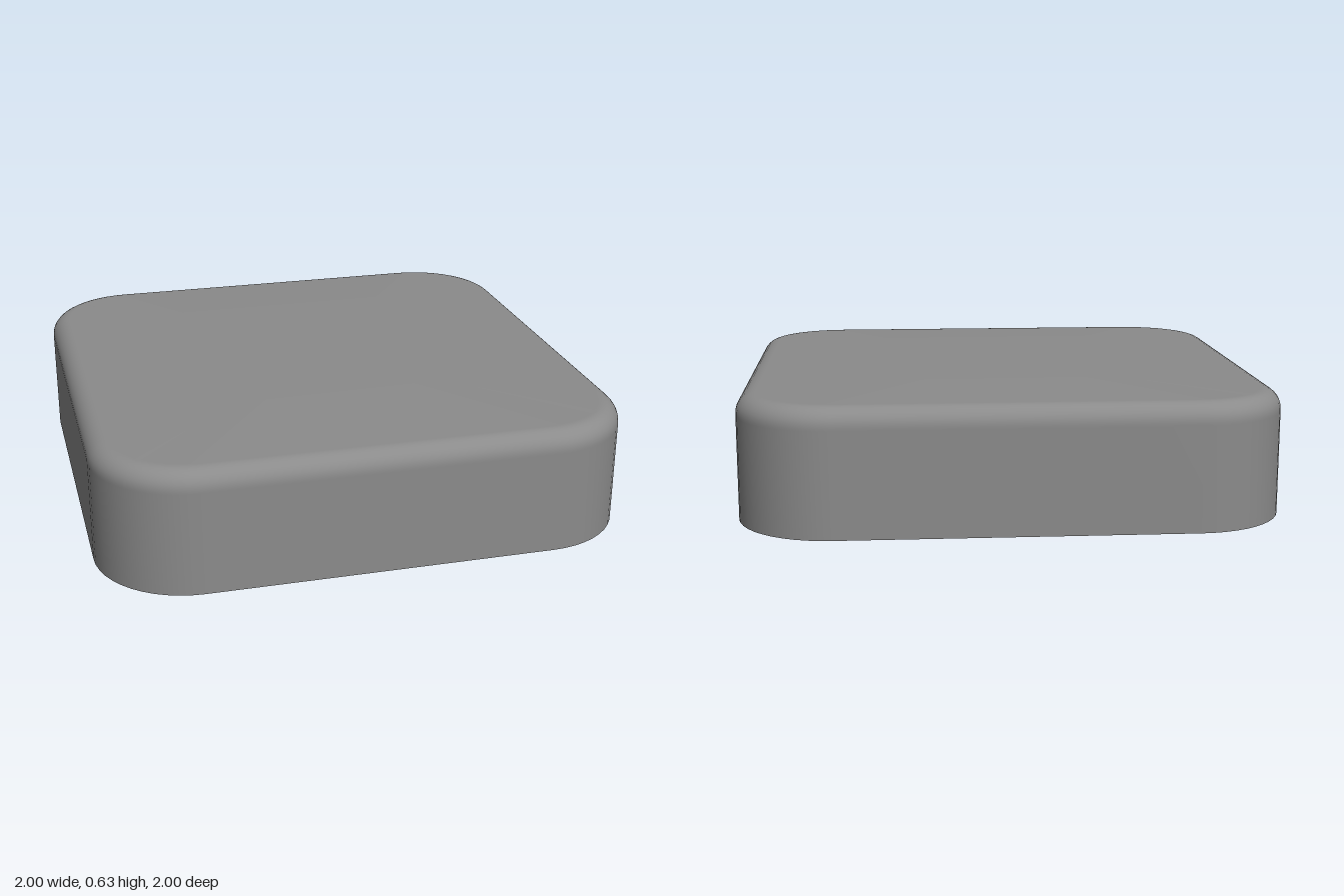
import * as THREE from 'three';
import { toCreasedNormals } from 'three/addons/utils/BufferGeometryUtils.js';

const CORNER_STEPS = 12;
const material = new THREE.MeshStandardMaterial({ color: 0x8b8b8b });

// Rounded-square outline at height y, counter-clockwise from above
function ring(half, radius, y) {
  const points = [];
  const c = half - radius;
  for (let q = 0; q < 4; q++) {
    const mid = (q + 0.5) * Math.PI / 2;
    const cx = c * Math.sign(Math.cos(mid)), cz = -c * Math.sign(Math.sin(mid));
    for (let i = 0; i <= CORNER_STEPS; i++) {
      const a = (q + i / CORNER_STEPS) * Math.PI / 2;
      points.push([cx + radius * Math.cos(a), y, cz - radius * Math.sin(a)]);
    }
  }
  return points;
}

// Skin over successive outlines; the first and last shrink to a point
function loft(rings) {
  const n = rings[0].length, index = [];
  for (let i = 0; i < rings.length - 1; i++) {
    for (let j = 0; j < n; j++) {
      const k = (j + 1) % n;
      const a = i * n + j, b = i * n + k, c = a + n, d = b + n;
      if (i < rings.length - 2) index.push(a, c, d);
      else index.push(a, c, b);
      if (i > 0 && i < rings.length - 2) index.push(a, d, b);
    }
  }
  const geometry = new THREE.BufferGeometry();
  geometry.setAttribute('position', new THREE.Float32BufferAttribute(rings.flat(2), 3));
  geometry.setIndex(index);
  return toCreasedNormals(geometry, Math.PI / 6);
}

function addMesh(group, name, geometry) {
  const mesh = new THREE.Mesh(geometry, material);
  mesh.name = name;
  group.add(mesh);
}

// Hollow cap: filleted top, walls, flat rim, cavity with filleted ceiling
function shellGeometry() {
  const bottom = 0.167, top = 0.635, ceiling = 0.514;
  const outerR = 0.35, innerHalf = 0.88, innerR = 0.3;
  const topFillet = 0.072, innerFillet = 0.1, steps = 8, margin = 0.008;
  // Narrow margin rings keep the flat faces evenly shaded beside the fillets
  const flat = topFillet + margin, innerFlat = innerFillet + margin;
  const rings = [ring(0, 0, top), ring(1 - flat, outerR - flat, top)];
  for (let i = 0; i <= steps; i++) {
    const a = i / steps * Math.PI / 2;
    const inset = topFillet * (1 - Math.sin(a));
    rings.push(ring(1 - inset, outerR - inset, top - topFillet * (1 - Math.cos(a))));
  }
  rings.push(ring(1, outerR, top - flat), ring(1, outerR, bottom));
  rings.push(ring(innerHalf, innerR, bottom), ring(innerHalf, innerR, ceiling - innerFlat));
  for (let i = 0; i <= steps; i++) {
    const a = i / steps * Math.PI / 2;
    const inset = innerFillet * (1 - Math.cos(a));
    rings.push(ring(innerHalf - inset, innerR - inset, ceiling - innerFillet * (1 - Math.sin(a))));
  }
  rings.push(ring(innerHalf - innerFlat, innerR - innerFlat, ceiling), ring(0, 0, ceiling));
  return loft(rings);
}

// Stem core with a cross-shaped socket open at the bottom
function socketGeometry(radius, depth) {
  const arm = 0.232, w = 0.07;
  const shape = new THREE.Shape().absarc(0, 0, radius, 0, Math.PI * 2);
  const quarter = [[arm, -w], [arm, w], [w, w]];
  const cross = [];
  for (let q = 0; q < 4; q++) {
    const origin = new THREE.Vector2();
    for (const [x, y] of quarter) {
      cross.push(new THREE.Vector2(x, y).rotateAround(origin, q * Math.PI / 2));
    }
  }
  shape.holes.push(new THREE.Path(cross));
  const geometry = new THREE.ExtrudeGeometry(shape, { depth, bevelEnabled: false, curveSegments: 48 });
  return geometry.rotateX(-Math.PI / 2);
}

export function createModel() {
  const model = new THREE.Group();
  model.name = 'keycap';
  addMesh(model, 'capShell', shellGeometry());

  const stem = new THREE.Group();
  stem.name = 'stem';
  model.add(stem);

  // Chamfered post flaring slightly where it meets the ceiling
  const profile = [[0.278, 0], [0.3, 0.02], [0.3, 0.494], [0.32, 0.515]]
    .map(([x, y]) => new THREE.Vector2(x, y));
  addMesh(stem, 'stemPost', toCreasedNormals(new THREE.LatheGeometry(profile, 48), Math.PI / 6));
  addMesh(stem, 'crossSocket', socketGeometry(0.278, 0.42));

  // Closed end of the socket
  const floor = new THREE.CylinderGeometry(0.27, 0.27, 0.09, 48);
  floor.translate(0, 0.465, 0);
  addMesh(stem, 'socketEnd', floor);
  return model;
}
